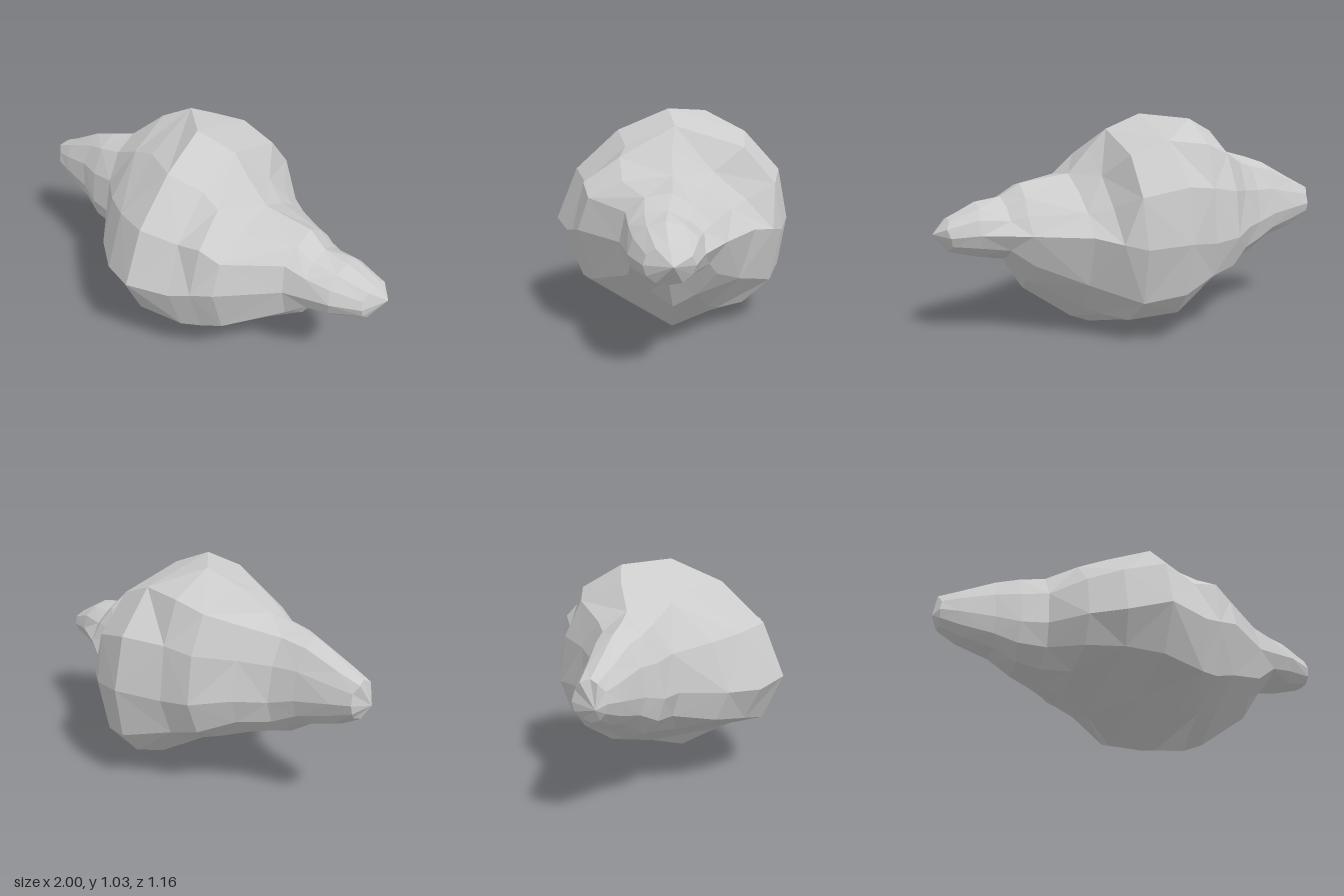
import * as THREE from 'three';

// Unit outlines as [across z, up y], from the top over the front, bottom and back
const ROUND = [
  [0, 1], [0.5, 0.85], [0.86, 0.49], [1, 0], [0.86, -0.51], [0.5, -0.86],
  [0, -1], [-0.5, -0.85], [-0.86, -0.5], [-1, 0], [-0.84, 0.5], [-0.5, 0.86],
];
const BODY = [
  [0.03, 1], [0.46, 0.81], [0.82, 0.46], [1, 0], [0.87, -0.53], [0.43, -0.76],
  [0, -1], [-0.5, -0.86], [-0.86, -0.6], [-1, 0], [-0.92, 0.45], [-0.62, 0.8],
];
// Broad in front, tapering to a ridge at the back, with a keel below
const SHOULDER = [
  [0, 1], [0.52, 0.9], [0.88, 0.6], [1, 0], [0.84, -0.5], [0.43, -0.76],
  [0, -1], [-0.44, -0.8], [-0.82, -0.5], [-1, 0], [-0.72, 0.38], [-0.4, 0.72],
];

// Cross-sections along x:
// [outline, x, top, bottom, back z, front z, widest y, middle z, top lean, bottom lean]
const SECTIONS = [
  [ROUND, -0.97, 0.635, 0.46, -0.11, 0.04, 0.54, -0.03, 0, 0],
  [ROUND, -0.88, 0.68, 0.41, -0.135, 0.07, 0.53, -0.03, 0, 0],
  [ROUND, -0.72, 0.765, 0.36, -0.175, 0.11, 0.51, -0.03, 0, 0],
  [ROUND, -0.61, 0.8, 0.29, -0.21, 0.16, 0.48, -0.03, 0, 0],
  [ROUND, -0.49, 0.83, 0.265, -0.31, 0.19, 0.48, -0.05, 0, 0],
  [BODY, -0.35, 0.945, 0.215, -0.44, 0.38, 0.46, -0.04, -0.1, 0],
  [BODY, -0.21, 1.01, 0.175, -0.475, 0.5, 0.45, -0.02, -0.17, -0.1],
  [BODY, -0.03, 1.03, 0.085, -0.585, 0.58, 0.48, 0, 0, -0.3],
  [BODY, 0.16, 0.96, 0.035, -0.535, 0.51, 0.46, 0, -0.03, -0.14],
  [SHOULDER, 0.25, 0.86, 0.0, -0.48, 0.47, 0.48, 0, 0, 0],
  [SHOULDER, 0.35, 0.75, 0.04, -0.38, 0.435, 0.5, 0, 0, 0],
  [SHOULDER, 0.59, 0.715, 0.21, -0.235, 0.23, 0.5, 0, 0, 0],
  [SHOULDER, 0.68, 0.655, 0.355, -0.19, 0.21, 0.5, 0.02, 0, 0],
  [ROUND, 0.8, 0.635, 0.375, -0.13, 0.185, 0.5, 0.03, 0, 0],
  [ROUND, 0.93, 0.57, 0.41, -0.09, 0.12, 0.49, 0.02, 0, 0],
];
const TIPS = [[-1, 0.52, 0], [1, 0.5, 0]];
const SIDES = ROUND.length;

function seeded(seed) {
  return () => {
    seed = (seed * 16807) % 2147483647;
    return seed / 2147483647;
  };
}

export function createModel() {
  const random = seeded(4711);
  const positions = [];
  const index = [];

  // Rings fitted to each section, slightly uneven along x between the extreme points
  SECTIONS.forEach(([outline, x, top, bottom, back, front, midY, midZ, topLean, bottomLean]) => {
    outline.forEach(([s, c], i) => {
      const shift = i % 3 === 0 ? 0 : (random() - 0.5) * 0.03;
      const lean = (c > 0 ? topLean : bottomLean) * c ** 4;
      positions.push(
        x + shift,
        midY + c * (c > 0 ? top - midY : midY - bottom),
        midZ + s * (s > 0 ? front - midZ : midZ - back) + lean
      );
    });
  });

  // Skin between rings, with diagonals alternating for a faceted surface
  for (let r = 0; r < SECTIONS.length - 1; r++) {
    for (let i = 0; i < SIDES; i++) {
      const j = (i + 1) % SIDES;
      const a = r * SIDES + i, b = r * SIDES + j;
      const c = a + SIDES, d = b + SIDES;
      if ((r + i) % 2) index.push(a, b, c, b, d, c);
      else index.push(a, b, d, a, d, c);
    }
  }

  // Pointed ends
  const last = (SECTIONS.length - 1) * SIDES;
  const leftTip = positions.length / 3;
  TIPS.forEach((tip) => positions.push(...tip));
  for (let i = 0; i < SIDES; i++) {
    const j = (i + 1) % SIDES;
    index.push(leftTip, j, i);
    index.push(leftTip + 1, last + i, last + j);
  }

  const geometry = new THREE.BufferGeometry();
  geometry.setAttribute('position', new THREE.Float32BufferAttribute(positions, 3));
  geometry.setIndex(index);
  geometry.computeVertexNormals();

  const material = new THREE.MeshStandardMaterial({ color: 0xcccccc, flatShading: true });
  const rock = new THREE.Mesh(geometry, material);
  rock.name = 'rock';

  const group = new THREE.Group();
  group.name = 'boulder';
  group.add(rock);
  return group;
}
